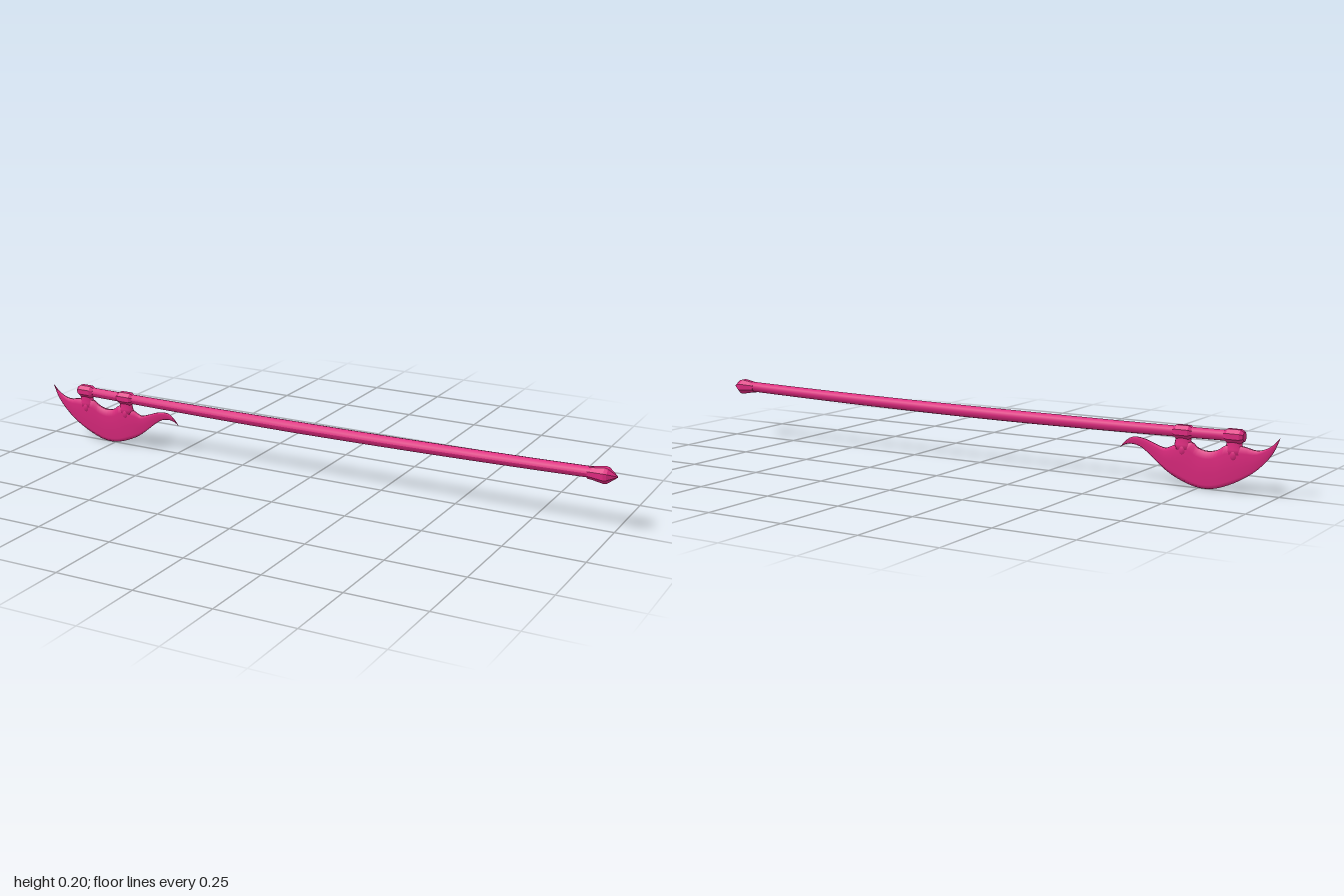
import * as THREE from 'three';

const material = new THREE.MeshStandardMaterial({ color: 0xe02a80 });
const flatMaterial = new THREE.MeshStandardMaterial({ color: 0xe02a80, flatShading: true });

// Gentle bow of the shaft's centre line
const bow = x => 0.161 + 0.004 * x + 0.011 * x * x;

function addMesh(parent, name, geometry, mat = material) {
  const mesh = new THREE.Mesh(geometry, mat);
  mesh.name = name;
  parent.add(mesh);
  return mesh;
}

// Faceted solid of revolution along +x from [x, radius] pairs
function turned(profile, sides) {
  const g = new THREE.LatheGeometry(profile.map(([x, r]) => new THREE.Vector2(r, x)), sides);
  g.rotateY(Math.PI / sides);
  g.rotateZ(-Math.PI / 2);
  return g;
}

function shaftGeometry() {
  const x0 = -0.885, x1 = 0.93;
  const g = new THREE.CylinderGeometry(1, 1, x1 - x0, 12, 24);
  g.rotateZ(-Math.PI / 2);
  g.translate((x0 + x1) / 2, 0, 0);
  const p = g.attributes.position;
  for (let i = 0; i < p.count; i++) {
    const x = p.getX(i);
    const t = THREE.MathUtils.smoothstep(x, -0.9, 0);
    const rz = 0.013 + 0.005 * t;
    const ry = 0.016 + 0.003 * t - 0.002 * Math.max(0, x);
    p.setXYZ(i, x, bow(x) + p.getY(i) * ry, p.getZ(i) * rz);
  }
  g.computeVertexNormals();
  return g;
}

// Blade stations: back x, back y, edge x, edge y, half thickness
const stations = [
  [-0.998, 0.171, -0.998, 0.170, 0.001],
  [-0.972, 0.145, -0.978, 0.125, 0.004],
  [-0.933, 0.129, -0.933, 0.074, 0.007],
  [-0.885, 0.137, -0.880, 0.037, 0.010],
  [-0.837, 0.137, -0.826, 0.012, 0.011],
  [-0.810, 0.120, -0.794, 0.003, 0.010],
  [-0.778, 0.113, -0.762, 0.001, 0.010],
  [-0.746, 0.120, -0.730, 0.006, 0.010],
  [-0.725, 0.135, -0.687, 0.021, 0.011],
  [-0.676, 0.124, -0.650, 0.040, 0.010],
  [-0.644, 0.110, -0.618, 0.064, 0.007],
  [-0.612, 0.118, -0.586, 0.090, 0.006],
  [-0.575, 0.131, -0.559, 0.107, 0.005],
  [-0.537, 0.134, -0.527, 0.112, 0.004],
  [-0.511, 0.118, -0.508, 0.107, 0.003],
  [-0.495, 0.099, -0.495, 0.098, 0.001],
];

function bladeGeometry() {
  // Cross-section: [distance from back to edge, thickness share]
  const section = [[0, 0.6], [0.2, 1], [0.6, 0.62], [0.9, 0.28], [1, 0],
    [0.9, -0.28], [0.6, -0.62], [0.2, -1], [0, -0.6]];
  const backEdge = new THREE.CatmullRomCurve3(stations.map(s => new THREE.Vector3(s[0], s[1], s[4])));
  const cutEdge = new THREE.CatmullRomCurve3(stations.map(s => new THREE.Vector3(s[2], s[3], 0)));
  const steps = 45, n = section.length, pos = [], idx = [];
  for (let i = 0; i <= steps; i++) {
    const a = backEdge.getPoint(i / steps), b = cutEdge.getPoint(i / steps);
    for (const [v, w] of section) {
      pos.push(a.x + (b.x - a.x) * v, Math.max(0, a.y + (b.y - a.y) * v), a.z * w);
    }
    if (i === steps) break;
    for (let j = 0; j < n; j++) {
      const k = (j + 1) % n, p = i * n, q = p + n;
      idx.push(p + j, p + k, q + j, p + k, q + k, q + j);
    }
  }
  const g = new THREE.BufferGeometry();
  g.setAttribute('position', new THREE.Float32BufferAttribute(pos, 3));
  g.setIndex(idx);
  g.computeVertexNormals();
  return g;
}

// Collar around the shaft with a flared neck down to the blade
function makeSocket(x) {
  const socket = new THREE.Group();
  socket.name = 'bladeSocket';
  const collar = addMesh(socket, 'collar', turned(
    [[-0.031, 0], [-0.031, 0.015], [-0.02, 0.022], [0.02, 0.022], [0.031, 0.015], [0.031, 0]], 8), flatMaterial);
  collar.position.y = bow(x);
  collar.scale.z = 0.92;

  const neckProfile = [[0.001, 0.105], [0.030, 0.112], [0.028, 0.126], [0.025, 0.14], [0.025, 0.165]];
  const neck = new THREE.LatheGeometry(neckProfile.map(([r, y]) => new THREE.Vector2(r, y)), 12);
  neck.scale(1, 1, 0.42);
  addMesh(socket, 'neck', neck);

  const boss = addMesh(socket, 'boss', new THREE.SphereGeometry(1, 12, 8));
  boss.scale.set(0.017, 0.022, 0.0135);
  boss.position.y = 0.112;
  socket.position.x = x;
  return socket;
}

export function createModel() {
  const model = new THREE.Group();
  model.name = 'poleaxe';
  addMesh(model, 'shaft', shaftGeometry());
  addMesh(model, 'blade', bladeGeometry());
  for (const x of [-0.86, -0.70]) model.add(makeSocket(x));

  // Faceted pommel with a pointed end
  const pommel = addMesh(model, 'pommel', turned(
    [[0.905, 0], [0.912, 0.019], [0.925, 0.020], [0.962, 0.0265], [0.972, 0.024], [1, 0.002], [1, 0]], 8), flatMaterial);
  pommel.position.y = 0.172;
  return model;
}
